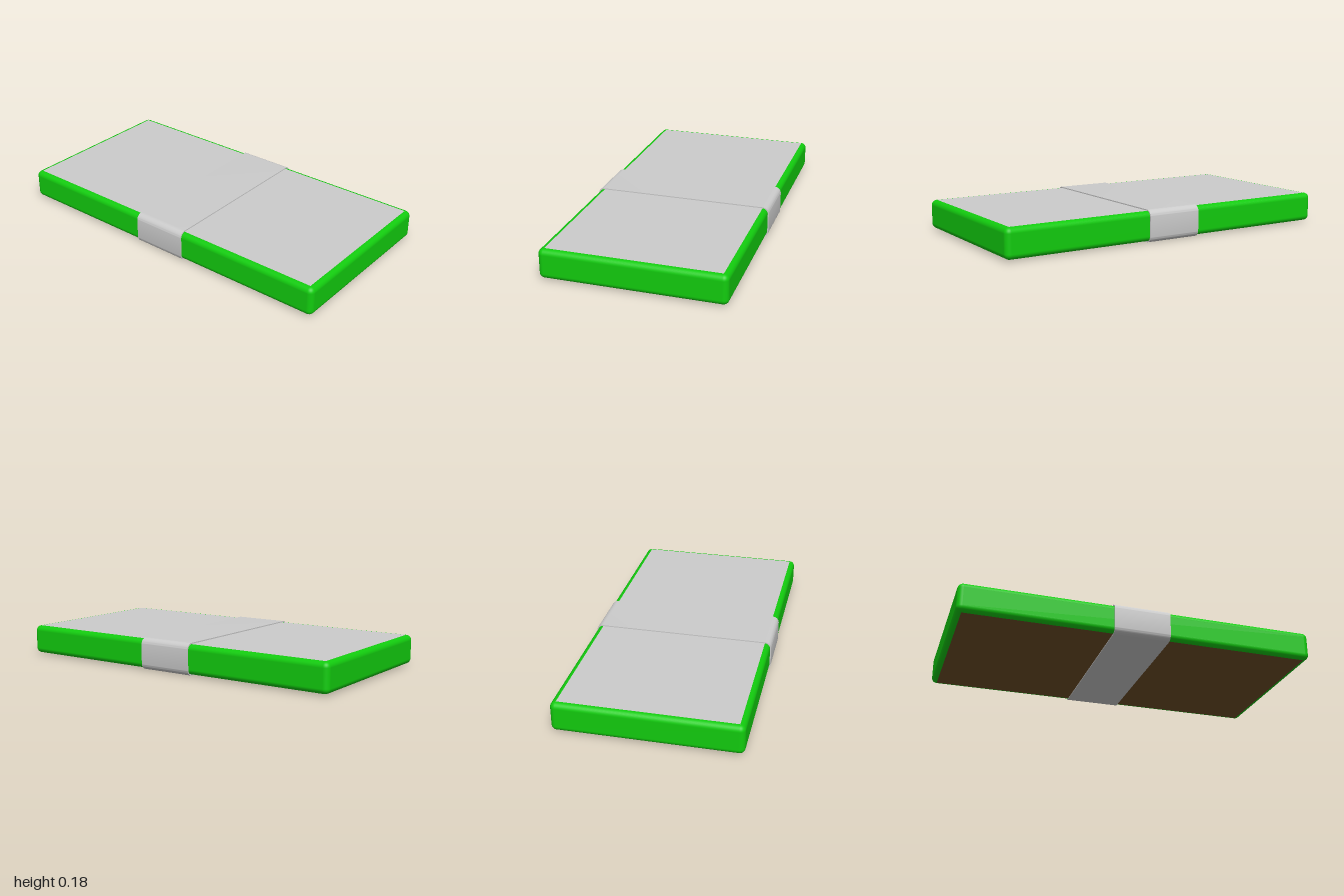
import * as THREE from 'three';
import { toCreasedNormals } from 'three/addons/utils/BufferGeometryUtils.js';
import { RoundedBoxGeometry } from 'three/addons/geometries/RoundedBoxGeometry.js';

const LENGTH = 2, DEPTH = 1, HEIGHT = 0.164, RADIUS = 0.03;
const BAND_WIDTH = 0.317, BAND_GAP = 0.0072;
const MID_Y = HEIGHT / 2 + BAND_GAP;

function addMesh(group, name, geometry, color, y) {
  const mesh = new THREE.Mesh(geometry, new THREE.MeshStandardMaterial({ color }));
  mesh.name = name;
  mesh.position.y = y;
  group.add(mesh);
  return mesh;
}

// Rounded slab without its flat top and bottom faces
function rimGeometry() {
  const slab = new RoundedBoxGeometry(LENGTH, HEIGHT, DEPTH, 6, RADIUS);
  const source = slab.index ? slab.toNonIndexed() : slab;
  const p = source.attributes.position, n = source.attributes.normal;
  const positions = [], normals = [];
  for (let i = 0; i < p.count; i += 3) {
    const corners = [i, i + 1, i + 2];
    if (corners.every(k => Math.abs(p.getY(k)) > HEIGHT / 2 - 1e-5)) continue;
    for (const k of corners) {
      positions.push(p.getX(k), p.getY(k), p.getZ(k));
      normals.push(n.getX(k), n.getY(k), n.getZ(k));
    }
  }
  const rim = new THREE.BufferGeometry();
  rim.setAttribute('position', new THREE.Float32BufferAttribute(positions, 3));
  rim.setAttribute('normal', new THREE.Float32BufferAttribute(normals, 3));
  return rim;
}

// Rounded rectangle outline centred on the origin
function roundedRect(path, w, h, r) {
  const x = w / 2 - r, y = h / 2 - r;
  path.absarc(x, y, r, 0, Math.PI / 2);
  path.absarc(-x, y, r, Math.PI / 2, Math.PI);
  path.absarc(-x, -y, r, Math.PI, Math.PI * 1.5);
  path.absarc(x, -y, r, Math.PI * 1.5, Math.PI * 2);
  path.closePath();
  return path;
}

export function createModel() {
  const model = new THREE.Group();
  model.name = 'bandedSlab';

  addMesh(model, 'roundedRim', rimGeometry(), 0x12cc0e, MID_Y);

  // Flat faces set inside the rim
  const face = new THREE.PlaneGeometry(LENGTH - 2 * RADIUS, DEPTH - 2 * RADIUS);
  addMesh(model, 'topFace', face, 0xcccccc, MID_Y + HEIGHT / 2).rotation.x = -Math.PI / 2;
  addMesh(model, 'bottomFace', face, 0x704f28, MID_Y - HEIGHT / 2).rotation.x = Math.PI / 2;

  // Thin sleeve wrapped around the middle
  const outline = roundedRect(new THREE.Shape(), DEPTH + 2 * BAND_GAP, HEIGHT + 2 * BAND_GAP, RADIUS + BAND_GAP);
  outline.holes.push(roundedRect(new THREE.Path(), DEPTH + 0.002, HEIGHT + 0.002, RADIUS + 0.001));
  const sleeve = new THREE.ExtrudeGeometry(outline, { depth: BAND_WIDTH, bevelEnabled: false, curveSegments: 10 });
  sleeve.translate(0, 0, -BAND_WIDTH / 2).rotateY(Math.PI / 2);
  addMesh(model, 'band', toCreasedNormals(sleeve, 0.6), 0xcccccc, MID_Y);

  return model;
}
